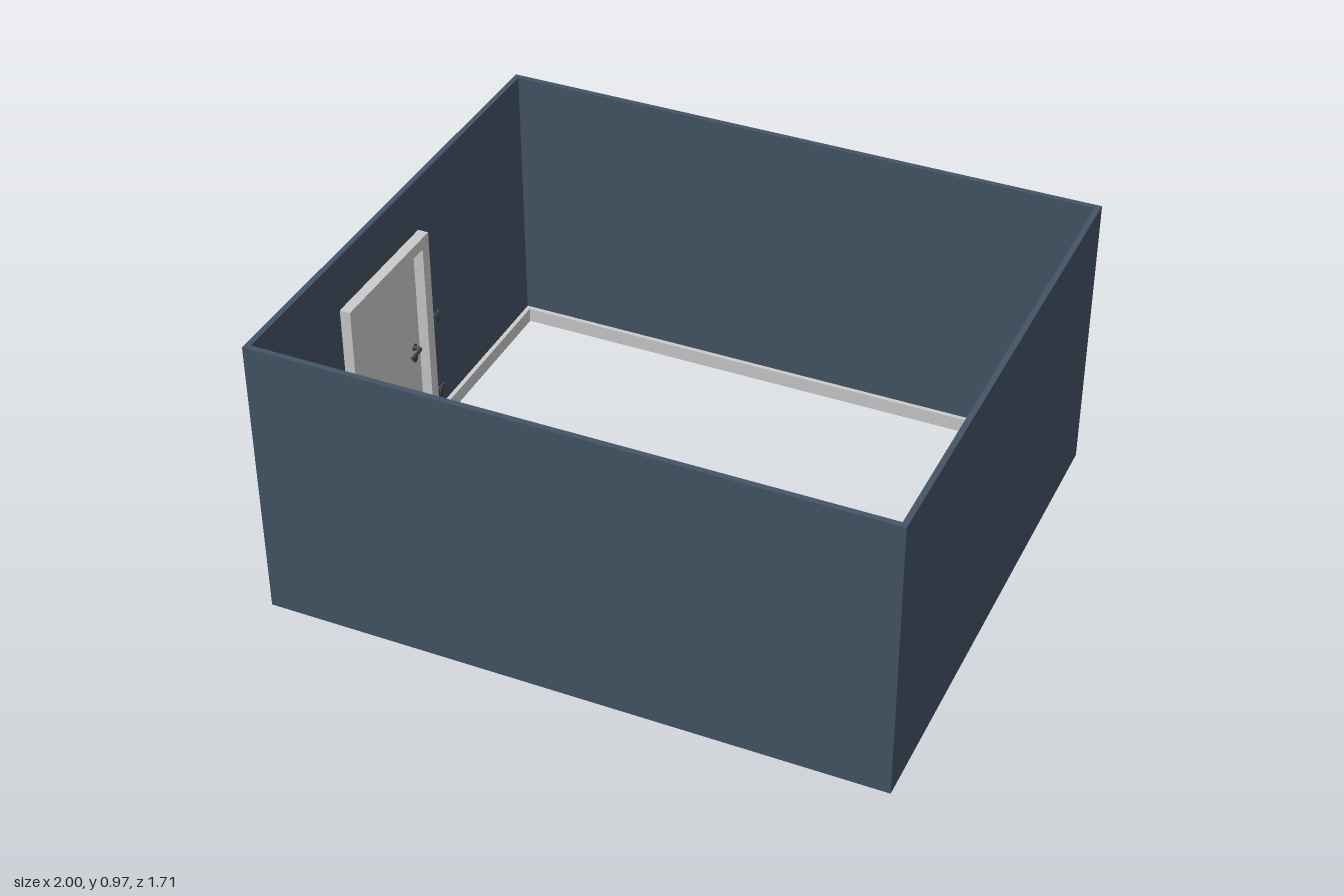
import * as THREE from 'three';

const wallMat = new THREE.MeshStandardMaterial({ color: 0x445566 });
const greyMat = new THREE.MeshStandardMaterial({ color: 0xcccccc });
const darkMat = new THREE.MeshStandardMaterial({ color: 0x444444 });

const X = 1, Z = 0.855, BASE = 0.015, TOP = 0.967, T = 0.018, SKIRT = 0.015;
const DOOR = { z0: -0.09, z1: 0.33, y0: 0.015, y1: 0.75 };
const CASING = { z0: -0.13, z1: 0.36, y0: 0, y1: 0.79 };

export function createModel() {
  const model = new THREE.Group();

  function add(name, geometry, material, parent = model) {
    const mesh = new THREE.Mesh(geometry, material);
    mesh.name = name;
    parent.add(mesh);
    return mesh;
  }

  // Box given by its minimum and maximum corners
  function box(name, a, b, material, parent) {
    const mesh = add(name, new THREE.BoxGeometry(b[0] - a[0], b[1] - a[1], b[2] - a[2]), material, parent);
    mesh.position.set((a[0] + b[0]) / 2, (a[1] + b[1]) / 2, (a[2] + b[2]) / 2);
    return mesh;
  }

  // Rectangle in the door wall's plane (drawn with u = -z)
  function rect(target, r) {
    target.moveTo(-r.z1, r.y0);
    target.lineTo(-r.z0, r.y0);
    target.lineTo(-r.z0, r.y1);
    target.lineTo(-r.z1, r.y1);
    target.closePath();
    return target;
  }

  // Slab with a rectangular opening, running from x0 to x1
  function slab(name, outer, hole, x0, x1, material, parent) {
    const shape = rect(new THREE.Shape(), outer);
    shape.holes.push(rect(new THREE.Path(), hole));
    const geo = new THREE.ExtrudeGeometry(shape, { depth: x1 - x0, bevelEnabled: false });
    geo.rotateY(Math.PI / 2).translate(x0, 0, 0);
    return add(name, geo, material, parent);
  }

  // Round part lying along x
  function disc(name, r, x0, x1, y, z, parent) {
    const geo = new THREE.CylinderGeometry(r, r, x1 - x0, 24).rotateZ(Math.PI / 2);
    add(name, geo, darkMat, parent).position.set((x0 + x1) / 2, y, z);
  }

  // Walls
  box('backWall', [-X, BASE, -Z], [X, TOP, -Z + T], wallMat);
  box('frontWall', [-X, BASE, Z - T], [X, TOP, Z], wallMat);
  box('leftWall', [X - T, BASE, -Z + T], [X, TOP, Z - T], wallMat);
  slab('doorWall', { z0: -Z + T, z1: Z - T, y0: BASE, y1: TOP }, { ...DOOR, y0: BASE + 0.0005 },
    -X, -X + T, wallMat);

  // Skirting boards, interrupted at the door
  const sx = X - T, sz = Z - T, sTop = BASE + 0.05;
  box('backSkirting', [-sx, BASE, -sz], [sx, sTop, -sz + SKIRT], greyMat);
  box('frontSkirting', [-sx, BASE, sz - SKIRT], [sx, sTop, sz], greyMat);
  box('leftSkirting', [sx - SKIRT, BASE, -sz + SKIRT], [sx, sTop, sz - SKIRT], greyMat);
  box('doorSkirtingBack', [-sx, BASE, -sz + SKIRT], [-sx + SKIRT, sTop, CASING.z0], greyMat);
  box('doorSkirtingFront', [-sx, BASE, CASING.z1], [-sx + SKIRT, sTop, sz - SKIRT], greyMat);

  // Door with its casing and threshold
  const door = new THREE.Group();
  door.name = 'door';
  model.add(door);
  slab('doorCasing', CASING, DOOR, -X + T, -0.947, greyMat, door);
  box('threshold', [-X + 0.004, 0, CASING.z0], [-X + T, BASE, CASING.z1], greyMat, door);
  box('doorLeaf', [-X, 0.004, DOOR.z0], [-X + T, DOOR.y1, DOOR.z1], greyMat, door);

  // Handle and lock rosettes on both faces
  const hz = -0.055, inner = -X + T;
  for (const y of [0.39, 0.345]) {
    disc('outerRosette', 0.013, -X - 0.002, -X, y, hz, door);
    disc('innerRosette', 0.012, inner, inner + 0.004, y, hz, door);
  }
  const lever = new THREE.CurvePath();
  const p = [[inner, hz], [inner + 0.025, hz], [inner + 0.027, hz + 0.07]]
    .map(([x, z]) => new THREE.Vector3(x, 0.39, z));
  lever.add(new THREE.LineCurve3(p[0], p[1]));
  lever.add(new THREE.LineCurve3(p[1], p[2]));
  add('leverHandle', new THREE.TubeGeometry(lever, 24, 0.006, 10), darkMat, door);

  // Light switch and socket beside the door
  for (const [name, y] of [['lightSwitch', 0.41], ['wallSocket', 0.12]]) {
    box(name + 'Plate', [inner, y - 0.021, -0.223], [inner + 0.005, y + 0.021, -0.181], wallMat);
    if (name === 'lightSwitch') box('switchRocker', [inner, y - 0.014, -0.216], [inner + 0.008, y + 0.014, -0.188], darkMat);
    else disc('socketInsert', 0.014, inner, inner + 0.007, y, -0.202, model);
  }

  return model;
}
